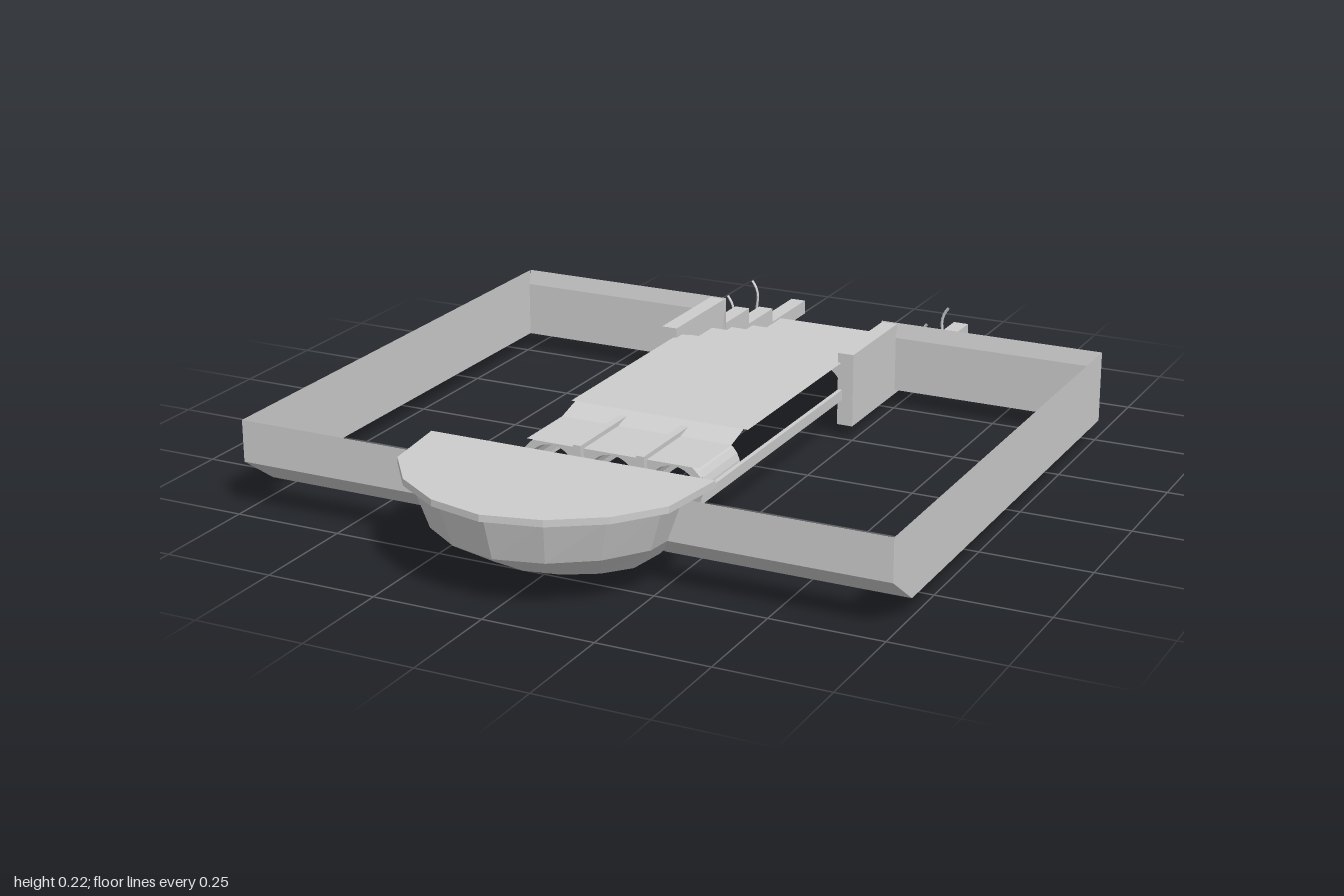
import * as THREE from 'three';

const grey = new THREE.MeshStandardMaterial({ color: 0xcccccc, side: THREE.DoubleSide, flatShading: true });
grey.name = 'plainGrey';

function add(parent, name, geometry) {
  const mesh = new THREE.Mesh(geometry, grey);
  mesh.name = name;
  parent.add(mesh);
  return mesh;
}

// Box given by its lower and upper limits
function box(parent, name, x0, x1, y0, y1, z0, z1) {
  const g = new THREE.BoxGeometry(x1 - x0, y1 - y0, z1 - z0);
  g.translate((x0 + x1) / 2, (y0 + y1) / 2, (z0 + z1) / 2);
  return add(parent, name, g);
}

// Faceted skin between rows of points
function loft(rows) {
  const pos = [];
  for (let i = 0; i < rows.length - 1; i++) {
    for (let j = 0; j < rows[i].length - 1; j++) {
      const a = rows[i][j], b = rows[i + 1][j], c = rows[i + 1][j + 1], d = rows[i][j + 1];
      pos.push(...a, ...b, ...c, ...a, ...c, ...d);
    }
  }
  const g = new THREE.BufferGeometry();
  g.setAttribute('position', new THREE.Float32BufferAttribute(pos, 3));
  g.computeVertexNormals();
  return g;
}

// Sheet swept across x from a [y, z] profile
function sheet(parent, name, x0, x1, profile) {
  return add(parent, name, loft(profile.map(([y, z]) => [[x0, y, z], [x1, y, z]])));
}

// Half-round outline of the bow at one level
const half = [[1, 0], [0.94, 0.45], [0.71, 0.725], [0.38, 0.92], [0, 1]];
const outline = [...half, ...half.slice(0, 4).reverse().map(([u, v]) => [-u, v])];
const ring = (y, w, d) => outline.map(([u, v]) => [u * w, y, 0.635 + v * d]);

// Wall with three arched openings
function archWall(top, depth) {
  const s = new THREE.Shape();
  s.moveTo(-0.21, 0.1);
  for (const c of [-0.145, 0, 0.145]) {
    s.lineTo(c - 0.06, 0.1);
    s.absarc(c, 0.1, 0.06, Math.PI, 0, true);
  }
  s.lineTo(0.21, 0.1);
  s.lineTo(0.21, top - 0.02);
  s.lineTo(0.19, top);
  s.lineTo(-0.19, top);
  s.lineTo(-0.21, top - 0.02);
  return new THREE.ExtrudeGeometry(s, { depth, bevelEnabled: false, curveSegments: 10 });
}

export function createModel() {
  const model = new THREE.Group();
  model.name = 'model';

  // Rounded bow, open at the back, with a flat deck
  const bow = new THREE.Group();
  bow.name = 'bow';
  model.add(bow);
  add(bow, 'bowHull', loft([
    ring(0.22, 0.33, 0.365), ring(0.205, 0.33, 0.365), ring(0.205, 0.31, 0.35),
    ring(0.11, 0.275, 0.32), ring(0.04, 0.205, 0.2), ring(0, 0, 0),
  ]));
  add(bow, 'bowDeck', loft([ring(0.22, 0, 0), ring(0.22, 0.33, 0.365)]));

  for (const s of [1, -1]) {
    const side = new THREE.Group();
    side.name = s > 0 ? 'leftSide' : 'rightSide';
    model.add(side);
    const span = (a, b) => [Math.min(s * a, s * b), Math.max(s * a, s * b)];

    // Side wall with chamfered front foot
    const wall = [[-0.52, 0.04], [0.62, 0.04], [0.72, 0.11], [0.72, 0.205], [-0.52, 0.205]];
    const shape = new THREE.Shape(wall.map(([z, y]) => new THREE.Vector2(-z, y)));
    const wallGeo = new THREE.ShapeGeometry(shape);
    wallGeo.rotateY(Math.PI / 2).translate(s * 0.75, 0, 0);
    add(side, 'sideWall', wallGeo);

    // Front wall folding back below
    sheet(side, 'frontWall', ...span(0.21, 0.75), [[0.205, 0.72], [0.11, 0.72], [0.04, 0.62]]);

    // Back wall with bevelled top and upright ribs
    sheet(side, 'backWall', ...span(0.205, 0.75),
      [[0.04, -0.515], [0.17, -0.515], [0.205, -0.523], [0.17, -0.523], [0.04, -0.523]]);
    for (let i = 0; i < 6; i++) {
      const x = 0.255 + i * 0.096;
      box(side, 'wallRib', ...span(x - 0.012, x + 0.012), 0.04, 0.19, -0.53, -0.52);
    }

    // Stepped side beam
    const beam = [[-1, 0.03], [-0.26, 0.03], [-0.26, 0.203], [-0.52, 0.203], [-0.52, 0.14],
      [-0.66, 0.14], [-0.66, 0.1], [-0.8, 0.1], [-0.8, 0.065], [-1, 0.065]];
    const beamGeo = new THREE.ExtrudeGeometry(
      new THREE.Shape(beam.map(([z, y]) => new THREE.Vector2(-z, y))),
      { depth: 0.038, bevelEnabled: false });
    beamGeo.rotateY(Math.PI / 2).translate(s > 0 ? 0.207 : -0.245, 0, 0);
    add(side, 'steppedBeam', beamGeo);

    // Curved hooks on the beam
    for (const [z, y] of [[-0.66, 0.1], [-0.803, 0.065]]) {
      const path = new THREE.CatmullRomCurve3([
        [0.238, y], [0.252, y + 0.012], [0.25, 0.13], [0.256, 0.15], [0.266, 0.165],
      ].map(([x, h]) => new THREE.Vector3(s * x, h, z)));
      add(side, 'hook', new THREE.TubeGeometry(path, 10, 0.0035, 4));
    }

    // Slim rail beside the platform and pier beneath it
    box(side, 'sideRail', ...span(0.208, 0.218), 0.09, 0.115, -0.26, 0.47);
    box(side, 'pier', ...span(0.066, 0.084), 0.1, 0.174, -0.3, 0.47);
  }

  // Platform with a fold down to the lower front strip
  const middle = new THREE.Group();
  middle.name = 'middle';
  model.add(middle);
  sheet(middle, 'platform', -0.215, 0.215, [[0.18, -0.29], [0.18, 0.24]]);
  sheet(middle, 'platformSlope', -0.205, 0.205, [[0.18, 0.24], [0.164, 0.3]]);
  sheet(middle, 'frontStrip', -0.205, 0.205, [[0.164, 0.3], [0.164, 0.455]]);

  // Arched ends and the vaults behind the front one
  add(middle, 'rearArches', archWall(0.18, 0.008)).position.z = -0.295;
  add(middle, 'frontArches', archWall(0.164, 0.01)).position.z = 0.447;
  for (const c of [-0.145, 0, 0.145]) {
    const vault = new THREE.CylinderGeometry(0.06, 0.06, 0.2, 12, 1, true, Math.PI / 2, Math.PI);
    vault.rotateX(Math.PI / 2).translate(c, 0.1, 0.355);
    add(middle, 'vault', vault);
  }

  // Broad steps going down to the back
  sheet(middle, 'steps', -0.207, 0.207, [[0.15, -0.29], [0.15, -0.45], [0.12, -0.45], [0.12, -0.56],
    [0.09, -0.56], [0.09, -0.68], [0.06, -0.68], [0.06, -0.85]]);

  return model;
}
